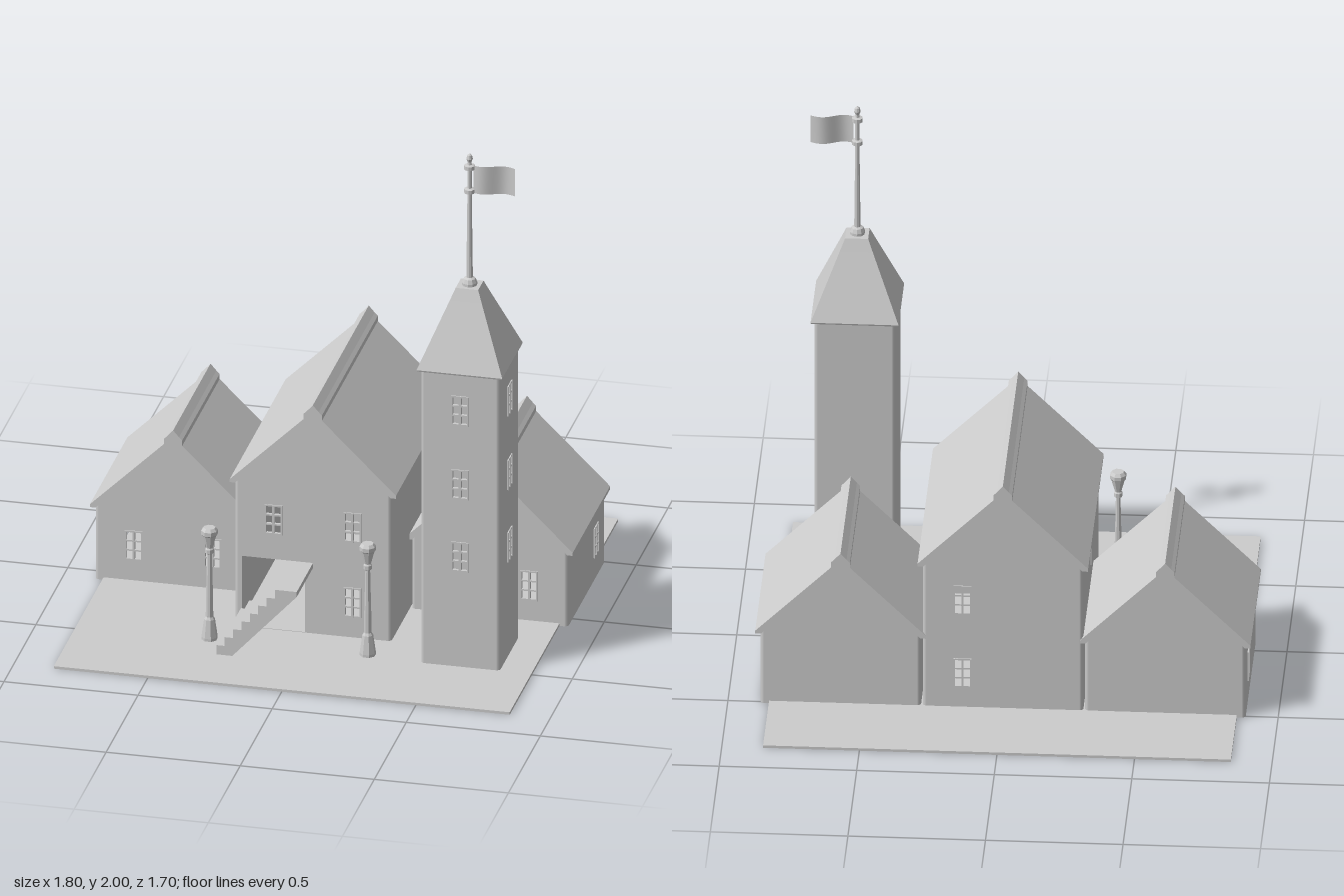
import * as THREE from 'three';

const mat = new THREE.MeshStandardMaterial({ color: 0xcccccc, side: THREE.DoubleSide });
const flat = new THREE.MeshStandardMaterial({ color: 0xcccccc, side: THREE.DoubleSide, flatShading: true });
const WIN_W = 0.066, WIN_H = 0.118, WALL = 0.012, POST = 0.014;

function add(parent, name, geometry, x = 0, y = 0, z = 0, material = mat) {
  const m = new THREE.Mesh(geometry, material);
  m.name = name;
  m.position.set(x, y, z);
  parent.add(m);
  return m;
}
const box = (p, name, w, h, d, x, y, z) => add(p, name, new THREE.BoxGeometry(w, h, d), x, y, z);
const toShape = pts => new THREE.Shape(pts.map(p => new THREE.Vector2(p[0], p[1])));
const rect = (x0, y0, x1, y1) => [[x0, y0], [x1, y0], [x1, y1], [x0, y1]];

// Window frame with two columns and three rows of panes
function windowFrame(parent, u, v) {
  const g = new THREE.Group();
  g.name = 'window';
  g.position.set(u, v, -0.002);
  for (const i of [-1, 0, 1]) {
    box(g, 'upright', i ? 0.006 : 0.008, WIN_H, 0.014, i * (WIN_W / 2 - 0.003), 0, 0);
  }
  for (let i = 0; i < 4; i++) {
    box(g, 'crossbar', WIN_W, 0.006, 0.012, 0, (i / 3 - 0.5) * (WIN_H - 0.006), 0);
  }
  parent.add(g);
}

// Thin wall whose outer face looks along local +z, pierced by windows and doors
function wall(parent, name, outline, windows, doors, x, z, turn) {
  const g = new THREE.Group();
  g.name = name;
  const shape = toShape(outline);
  const holes = doors.concat(windows.map(([u, v]) =>
    rect(u - WIN_W / 2, v - WIN_H / 2, u + WIN_W / 2, v + WIN_H / 2)));
  holes.forEach(h => shape.holes.push(toShape(h)));
  const geo = new THREE.ExtrudeGeometry(shape, { depth: WALL, bevelEnabled: false });
  add(g, 'panel', geo.translate(0, 0, -WALL));
  windows.forEach(([u, v]) => windowFrame(g, u, v));
  g.position.set(x, 0, z);
  g.rotation.y = turn;
  parent.add(g);
}

// Rounded posts that close the four wall corners
function cornerPosts(g, cx, cz, hw, hd, h) {
  for (const sx of [-1, 1]) for (const sz of [-1, 1]) {
    add(g, 'cornerPost', new THREE.CylinderGeometry(POST, POST, h, 12),
      cx + sx * (hw - POST), h / 2, cz + sz * (hd - POST));
  }
}

// Gabled house: eave height, depth range, and windows listed per wall
function house(root, name, cx, eave, z0, z1, w) {
  const g = new THREE.Group();
  g.name = name;
  const hw = 0.292, cz = (z0 + z1) / 2, hd = (z1 - z0) / 2;
  const a = hw - POST, d = hd - POST;
  const gable = [[-a, 0], [a, 0], [a, eave + 0.01], [0, eave + 0.3], [-a, eave + 0.01]];
  const side = rect(-d, 0, d, eave + 0.01);
  wall(g, 'frontWall', gable, w.front || [], w.doors || [], cx, z1, 0);
  wall(g, 'backWall', gable, w.back || [], [], cx, z0, Math.PI);
  wall(g, 'leftWall', side, w.left || [], [], cx + hw, cz, Math.PI / 2);
  wall(g, 'rightWall', side, w.right || [], [], cx - hw, cz, -Math.PI / 2);
  cornerPosts(g, cx, cz, hw, hd, eave + 0.005);
  // Roof slabs and ridge cap in one profile
  const half = [[0.31, -0.006], [0.31, 0.006], [0.034, 0.277], [0.034, 0.298], [0.022, 0.31]];
  const profile = [[0, 0.286], [0.29, -0.006], ...half, [0, 0.335],
    ...half.map(([x, y]) => [-x, y]).reverse(), [-0.29, -0.006]];
  const roof = new THREE.ExtrudeGeometry(toShape(profile), { depth: z1 - z0 + 0.006, bevelEnabled: false });
  add(g, 'roof', roof, cx, eave, z0 - 0.003);
  root.add(g);
}

function tower(root) {
  const g = new THREE.Group();
  g.name = 'tower';
  const cx = 0.585, cz = 0.365, hw = 0.148, H = 1.185, a = hw - POST;
  const windows = [0.45, 0.74, 1.035].map(y => [0, y]);
  for (let i = 0; i < 4; i++) {
    const t = i * Math.PI / 2;
    wall(g, 'towerWall', rect(-a, 0, a, H), i < 2 ? windows : [], [],
      cx + Math.sin(t) * hw, cz + Math.cos(t) * hw, t);
  }
  cornerPosts(g, cx, cz, hw, hw, H);
  // Four-sided spire
  const spire = [[0, 1.18], [0.158, 1.18], [0.16, 1.186], [0.06, 1.43], [0.042, 1.475], [0, 1.475]]
    .map(([r, y]) => new THREE.Vector2(r * Math.SQRT2, y));
  add(g, 'spire', new THREE.LatheGeometry(spire, 4).rotateY(Math.PI / 4), cx, 0, cz, flat);
  // Flagpole with foot, collars and finial
  const pole = [[0, 1.47], [0.028, 1.47], [0.028, 1.485], [0.022, 1.5], [0.012, 1.505], [0.008, 1.84],
    [0.02, 1.843], [0.02, 1.858], [0.008, 1.861], [0.008, 1.934], [0.02, 1.937], [0.02, 1.952],
    [0.008, 1.955], [0.007, 1.965], [0.012, 1.978], [0.009, 1.992], [0, 2]]
    .map(p => new THREE.Vector2(...p));
  add(g, 'flagpole', new THREE.LatheGeometry(pole, 10), cx, 0, cz, flat);
  // Waving flag
  const flag = new THREE.PlaneGeometry(0.155, 0.11, 16, 1).translate(0.0875, 0, 0);
  const p = flag.attributes.position;
  for (let i = 0; i < p.count; i++) {
    p.setZ(i, 0.012 * Math.sin(p.getX(i) / 0.165 * Math.PI * 2));
  }
  flag.computeVertexNormals();
  add(g, 'flag', flag, cx + 0.005, 1.9, cz);
  root.add(g);
}

// Open flight of steps rising along +x in front of the doorway
function stairs(root) {
  const n = 8, x0 = -0.3, run = 0.25 / n, rise = 0.28 / n;
  const pts = [[x0, 0.005]];
  for (let i = 0; i < n; i++) {
    pts.push([x0 + i * run, 0.012 + (i + 1) * rise]);
    pts.push([x0 + (i + 1) * run, 0.012 + (i + 1) * rise]);
  }
  pts.push([0, 0.292], [0, 0.272], [-0.245, 0.005]);
  const geo = new THREE.ExtrudeGeometry(toShape(pts), { depth: 0.255, bevelEnabled: false });
  add(root, 'stairs', geo, 0, 0, 0.36);
}

function streetLamp(root, x) {
  const pts = [[0, 0.005], [0.03, 0.005], [0.03, 0.02], [0.02, 0.09], [0.014, 0.1], [0.013, 0.18],
    [0.01, 0.3], [0.009, 0.35], [0.016, 0.355], [0.016, 0.37], [0.012, 0.375], [0.026, 0.425],
    [0.031, 0.43], [0.031, 0.445], [0.022, 0.456], [0, 0.456]].map(p => new THREE.Vector2(...p));
  add(root, 'streetLamp', new THREE.LatheGeometry(pts, 8).rotateY(Math.PI / 8), x, 0, 0.49, flat);
}

export function createModel() {
  const root = new THREE.Group();
  root.name = 'townHall';
  box(root, 'ground', 1.7, 0.01, 1.7, 0, 0.005, 0);
  const pair = [[-0.147, 0.15], [0.147, 0.15]];
  house(root, 'rightHouse', -0.59, 0.293, -0.51, 0.07, { front: pair, right: [[-0.145, 0.15]] });
  house(root, 'leftHouse', 0.59, 0.293, -0.51, 0.07, { front: pair, left: [[0.145, 0.15]] });
  house(root, 'middleHouse', 0, 0.59, -0.51, 0.36, {
    front: [[-0.147, 0.45], [0.147, 0.45], [0.147, 0.15]],
    back: [[-0.147, 0.15], [-0.147, 0.45]],
    right: [[0, 0.45]],
    doors: [rect(-0.265, 0.012, -0.03, 0.292)],
  });
  tower(root);
  stairs(root);
  streetLamp(root, -0.355);
  streetLamp(root, 0.235);
  return root;
}
